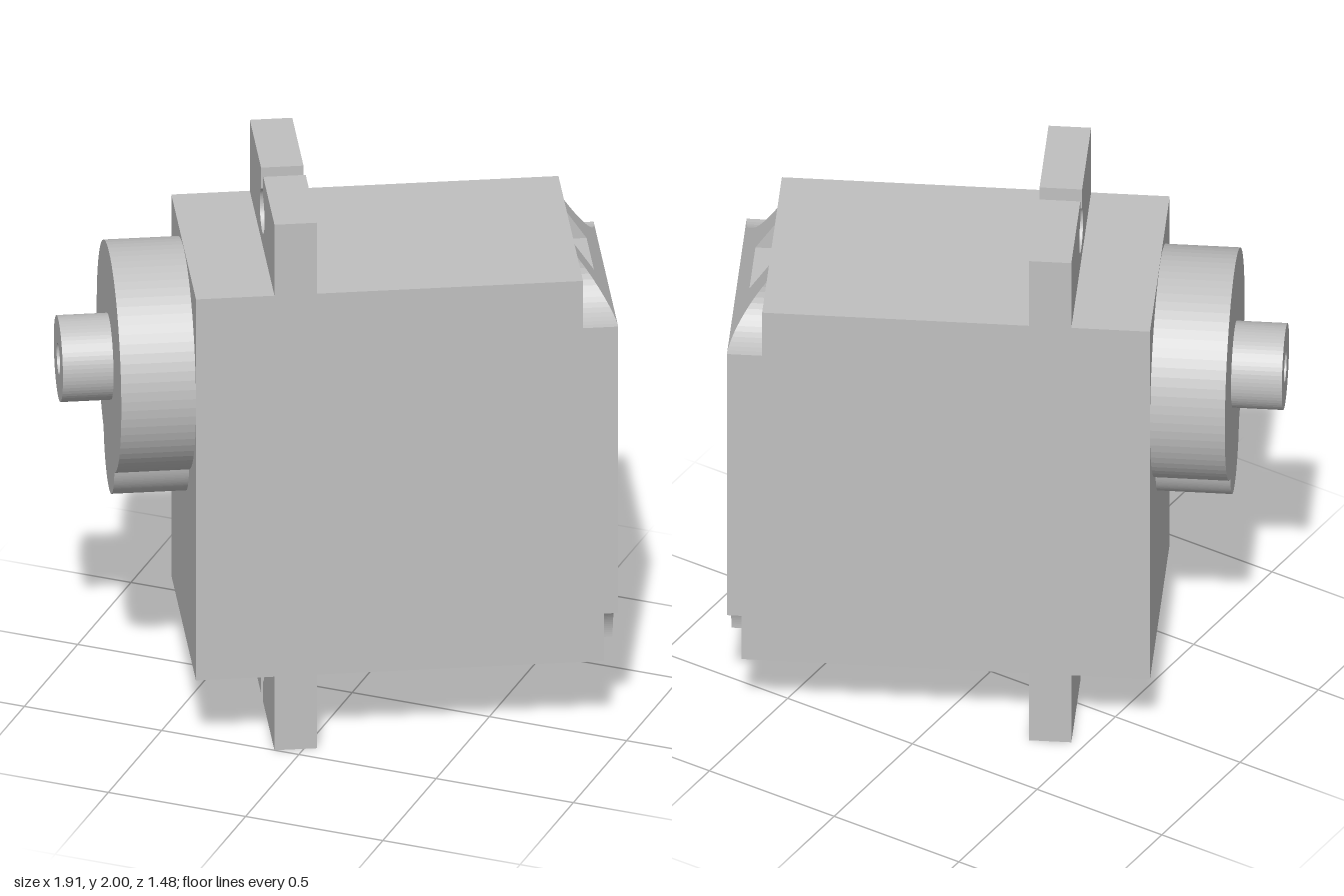
import * as THREE from 'three';

const W = 0.397;              // half width of the case
const BOTTOM = 0.28, TOP = 1.73, STEP = 1.55;
const FRONT = -0.576, REAR_TOP = 0.746, REAR = 0.866;
const R = 0.18;               // corner screw recesses
const AXIS = 1.328;           // height of the output shaft

const grey = new THREE.MeshStandardMaterial({ color: 0xc0c0c0 });
grey.name = 'grey plastic';

function add(group, name, geometry) {
  const mesh = new THREE.Mesh(geometry, grey);
  mesh.name = name;
  group.add(mesh);
  return mesh;
}

// Extrudes a (width, height) outline along x from x0 to x1
function extrudeX(shape, x0, x1, curveSegments = 16) {
  return new THREE.ExtrudeGeometry(shape, { depth: x1 - x0, bevelEnabled: false, curveSegments })
    .rotateY(Math.PI / 2).translate(x0, 0, 0);
}

function box(x0, x1, y0, y1) {
  return new THREE.BoxGeometry(x1 - x0, y1 - y0, 2 * W)
    .translate((x0 + x1) / 2, (y0 + y1) / 2, 0);
}

// Mounting tab with a screw hole that opens to the edge through a slot
function tabGeometry() {
  const r = 0.077, s = 0.035, cy = 1.852;
  const a = Math.acos(s / r);
  const shape = new THREE.Shape();
  shape.moveTo(-W, TOP - 0.02);
  shape.lineTo(W, TOP - 0.02);
  shape.lineTo(W, 2);
  shape.lineTo(s, 2);
  shape.absarc(0, cy, r, a, Math.PI - a, true);
  shape.lineTo(-s, 2);
  shape.lineTo(-W, 2);
  shape.closePath();
  return extrudeX(shape, -0.308, -0.163, 32);
}

// Rear cover with quarter-round recesses in the lower corners
function coverGeometry() {
  const shape = new THREE.Shape();
  shape.moveTo(-W, STEP);
  shape.lineTo(-W, BOTTOM + R);
  shape.absarc(-W, BOTTOM, R, Math.PI / 2, 0, true);
  shape.lineTo(W - R, BOTTOM);
  shape.absarc(W, BOTTOM, R, Math.PI, Math.PI / 2, true);
  shape.lineTo(W, STEP);
  shape.closePath();
  return extrudeX(shape, 0.817, REAR);
}

// Sloped upper rear edge: height varies over z for the round corners and the notch
function slopeGeometry() {
  const half = [];
  for (let i = 0; i <= 14; i++) {
    const a = (i / 14) * Math.PI / 2;
    half.push([-W + R * Math.sin(a), TOP - R * Math.cos(a)]);
  }
  half.push([-0.12, TOP], [-0.12, 1.63]);
  const stations = [...half, ...half.map(([z, t]) => [-z, t]).reverse()];
  const pos = [];
  const quad = (a, b, c, d) => pos.push(...a, ...b, ...c, ...a, ...c, ...d);
  const section = ([z, t]) => {
    const x = REAR - (REAR - REAR_TOP) * (t - STEP) / (TOP - STEP);
    return [[REAR, STEP, z], [x, t, z], [REAR_TOP, t, z]];
  };
  for (let i = 0; i < stations.length - 1; i++) {
    const p = section(stations[i]), q = section(stations[i + 1]);
    quad(p[0], p[1], q[1], q[0]);
    quad(p[1], p[2], q[2], q[1]);
  }
  const g = new THREE.BufferGeometry();
  g.setAttribute('position', new THREE.Float32BufferAttribute(pos, 3));
  g.computeVertexNormals();
  return g;
}

// Round gear housing joined with the small lobe below it
function housingGeometry() {
  const r = 0.175, cy = 1.0, d = AXIS - cy;
  // crossing of the two circles, measured from the main centre
  const h = (W * W - r * r + d * d) / (2 * d);
  const w = Math.sqrt(W * W - h * h);
  const big = Math.atan2(-h, w), small = Math.atan2(d - h, w);
  const shape = new THREE.Shape();
  shape.absarc(0, AXIS, W, big, Math.PI - big, false);
  shape.absarc(0, cy, r, Math.PI - small, 2 * Math.PI + small, false);
  return extrudeX(shape, -0.831, FRONT, 32);
}

// Output shaft with a bore for the horn screw
function shaftGeometry() {
  const shape = new THREE.Shape();
  shape.absarc(0, AXIS, 0.148, 0, Math.PI * 2, false);
  const bore = new THREE.Path();
  bore.absarc(0, AXIS, 0.054, 0, Math.PI * 2, true);
  shape.holes.push(bore);
  return extrudeX(shape, -1.004, -0.831, 32);
}

export function createModel() {
  const model = new THREE.Group();
  model.name = 'servoMotor';
  const servo = new THREE.Group();
  servo.name = 'servo';

  add(servo, 'case', box(FRONT, REAR_TOP, BOTTOM, TOP));
  add(servo, 'caseRear', box(REAR_TOP, 0.817, BOTTOM, STEP));
  add(servo, 'rearCover', coverGeometry());
  add(servo, 'rearSlope', slopeGeometry());
  add(servo, 'gearHousing', housingGeometry());
  add(servo, 'outputShaft', shaftGeometry());

  add(servo, 'upperMountingTab', tabGeometry());
  add(servo, 'lowerMountingTab',
    tabGeometry().translate(0, -1, 0).rotateX(Math.PI).translate(0, 1, 0));

  // The whole motor stands turned about the vertical axis
  servo.rotation.y = THREE.MathUtils.degToRad(27.27);
  servo.position.set(0.003, 0, 0.006);
  model.add(servo);
  return model;
}
